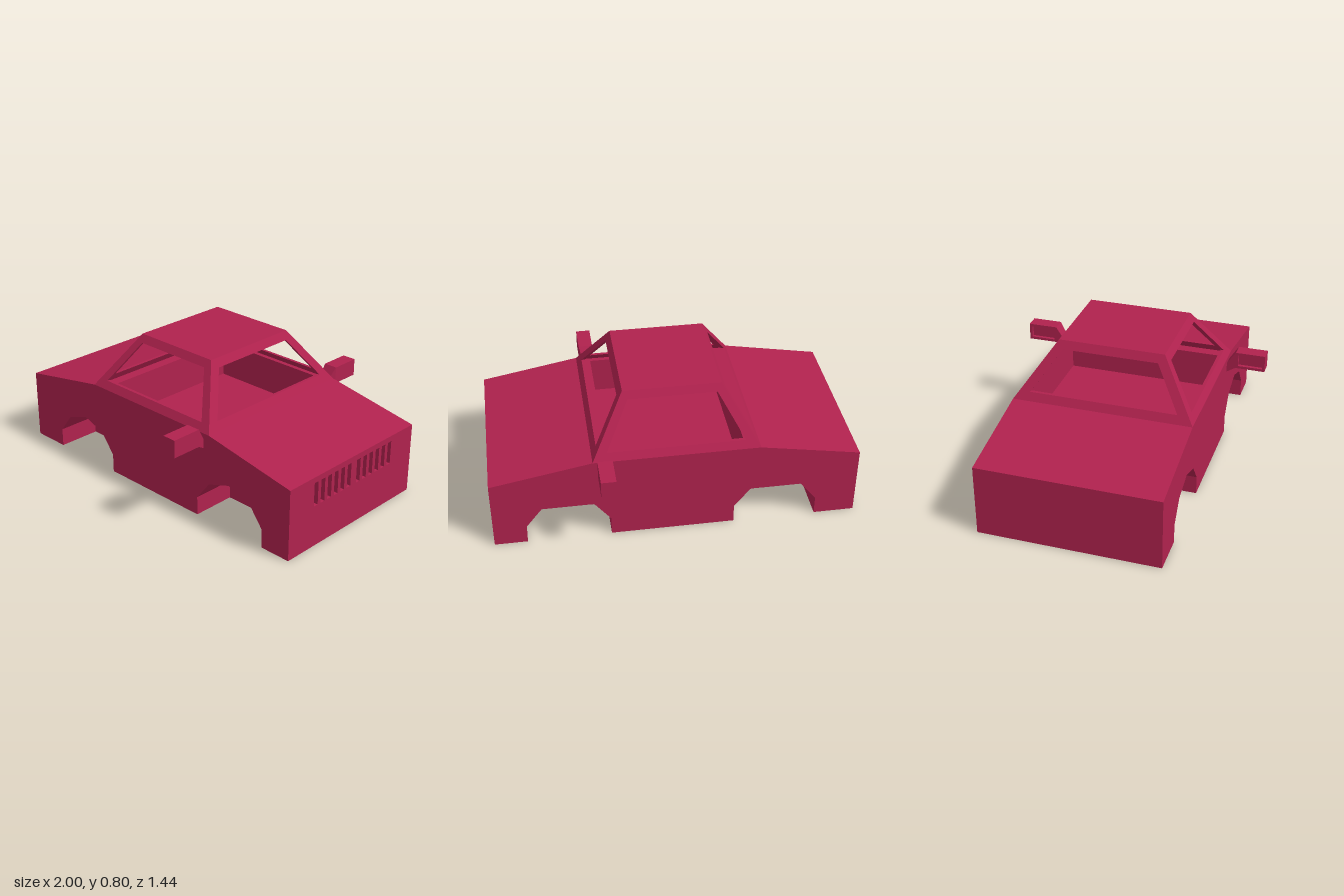
import * as THREE from 'three';

const paint = new THREE.MeshStandardMaterial({ color: 0xb0224e });
paint.name = 'crimson paint';

function add(parent, name, geometry) {
  const mesh = new THREE.Mesh(geometry, paint);
  mesh.name = name;
  parent.add(mesh);
  return mesh;
}

// Flat-sided bands joining successive four-cornered loops
function bands(loops) {
  const out = [];
  for (let n = 0; n < loops.length - 1; n++) {
    const a = loops[n], b = loops[n + 1];
    for (let i = 0; i < 4; i++) {
      const j = (i + 1) % 4;
      out.push(...a[i], ...a[j], ...b[j], ...a[i], ...b[j], ...b[i]);
    }
  }
  const g = new THREE.BufferGeometry();
  g.setAttribute('position', new THREE.Float32BufferAttribute(out, 3));
  g.computeVertexNormals();
  return g;
}

const toShape = pts => new THREE.Shape(pts.map(p => new THREE.Vector2(...p)));
const rect = (x0, y0, x1, y1) => [[x0, y0], [x1, y0], [x1, y1], [x0, y1]];
const extrude = (shape, depth) => new THREE.ExtrudeGeometry(shape, { depth, bevelEnabled: false });

// Body side profile, with optional wheel arches and cabin well
function profile(arches, well) {
  const arch = [[-0.23, 0], [-0.23, 0.105], [-0.143, 0.217], [0, 0.265], [0.143, 0.217], [0.229, 0.105], [0.229, 0]];
  const pts = [[-1, 0]];
  if (arches) for (const cx of [-0.545, 0.592]) pts.push(...arch.map(([x, y]) => [cx + x, y]));
  pts.push([0.97, 0], [0.97, 0.38], [1, 0.38], [1, 0.4], [0.45, 0.5]);
  if (well) pts.push([0.37, 0.5], [0.37, 0.29], [-0.37, 0.29], [-0.37, 0.5]);
  pts.push([-0.45, 0.5], [-1, 0.4]);
  return toShape(pts);
}

// Cabin half-extents at a given height
const halfX = y => 0.45 - (y - 0.5) * 0.617;
const halfZ = y => 0.5 - (y - 0.5) * 0.683;

// One window frame: outer skin, window reveal and inner skin
function windowFrame(across, out, win) {
  const t = 0.018;
  const loop = (y0, w0, y1, w1, inset) => [
    [-w0, y0, out(y0) - inset], [w0, y0, out(y0) - inset],
    [w1, y1, out(y1) - inset], [-w1, y1, out(y1) - inset]];
  return bands([
    loop(0.5, across(0.5), 0.8, across(0.8), 0),
    loop(...win, 0),
    loop(...win, t),
    loop(0.5, across(0.5) - t, 0.78, across(0.78) - t, t)]);
}

export function createModel() {
  const car = new THREE.Group();
  car.name = 'car';

  // Body in layers: plain middle, arched flanks, solid outer skins
  const body = new THREE.Group();
  body.name = 'body';
  car.add(body);
  add(body, 'bodyCentre', extrude(profile(false, true), 0.5)).position.z = -0.25;
  for (const s of [1, -1]) {
    add(body, 'bodyFlank', extrude(profile(true, true), 0.205)).position.z = s > 0 ? 0.25 : -0.455;
    add(body, 'bodySkin', extrude(profile(true, false), 0.045)).position.z = s > 0 ? 0.455 : -0.5;
  }

  // Nose panel with twelve vent slots
  const nose = toShape(rect(-0.5, 0, 0.5, 0.38));
  for (const s of [1, -1]) {
    for (let i = 0; i < 6; i++) {
      const c = s * (0.038 + i * 0.0525);
      nose.holes.push(new THREE.Path(rect(c - 0.015, 0.235, c + 0.015, 0.368).map(p => new THREE.Vector2(...p))));
    }
  }
  add(body, 'ventedNose', extrude(nose, 0.03).rotateY(Math.PI / 2)).position.x = 0.97;

  // Cabin frames on all four sides
  const cabin = new THREE.Group();
  cabin.name = 'cabin';
  car.add(cabin);
  const sideWindow = [0.54, 0.37, 0.76, 0.24], endWindow = [0.543, 0.41, 0.757, 0.265];
  ['leftWindowFrame', 'windscreenFrame', 'rightWindowFrame', 'rearWindowFrame'].forEach((name, k) => {
    const g = k % 2 ? windowFrame(halfZ, halfX, endWindow) : windowFrame(halfX, halfZ, sideWindow);
    add(cabin, name, g.rotateY(k * Math.PI / 2));
  });

  // Roof skin and ceiling
  add(cabin, 'roof', new THREE.PlaneGeometry(2 * halfX(0.8), 2 * halfZ(0.8)).rotateX(-Math.PI / 2)).position.y = 0.8;
  add(cabin, 'ceiling', new THREE.PlaneGeometry(2 * halfX(0.78) - 0.036, 2 * halfZ(0.78) - 0.036).rotateX(Math.PI / 2)).position.y = 0.78;

  // Door mirrors: tapered stem, housing and recessed rear face
  for (const s of [1, -1]) {
    const mirror = new THREE.Group();
    mirror.name = 'doorMirror';
    const corners = (x0, y0, x1, y1, z) => rect(x0, y0, x1, y1).map(p => [...p, z]);
    add(mirror, 'mirrorStem', bands([
      corners(0.348, 0.415, 0.41, 0.47, 0.5),
      corners(0.348, 0.447, 0.428, 0.545, 0.55)]));
    add(mirror, 'mirrorHousing', new THREE.BoxGeometry(0.06, 0.098, 0.17)).position.set(0.398, 0.496, 0.635);
    const rim = toShape(rect(-0.72, 0.447, -0.55, 0.545));
    rim.holes.push(new THREE.Path(rect(-0.705, 0.462, -0.565, 0.53).map(p => new THREE.Vector2(...p))));
    add(mirror, 'mirrorRim', extrude(rim, 0.02).rotateY(Math.PI / 2)).position.x = 0.348;
    mirror.scale.z = s;
    car.add(mirror);
  }
  return car;
}
